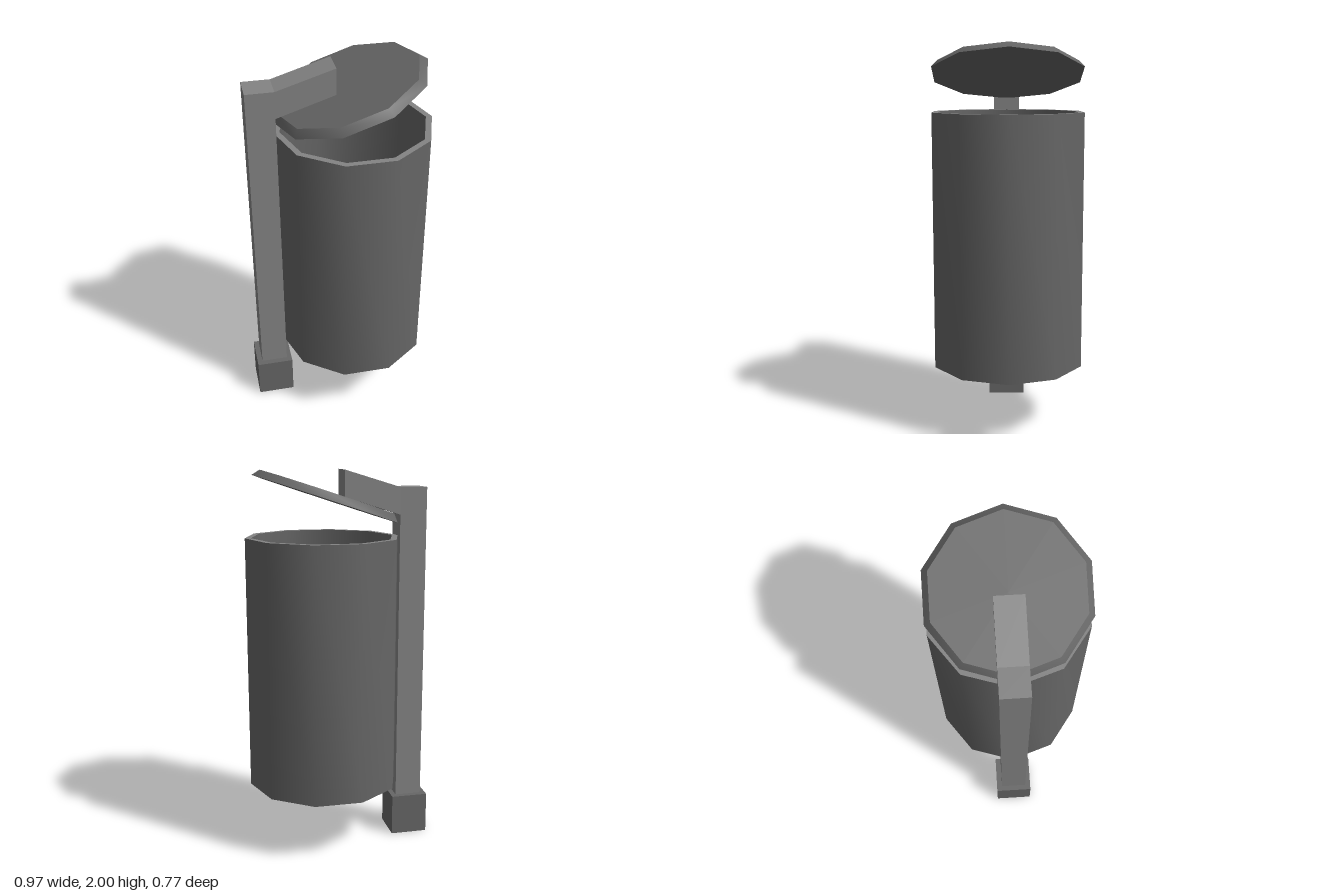
import * as THREE from 'three';
import { toCreasedNormals } from 'three/addons/utils/BufferGeometryUtils.js';

const SIDES = 10;

export function createModel() {
  const group = new THREE.Group();
  const paint = (color) => new THREE.MeshStandardMaterial({ color, side: THREE.DoubleSide });
  const dark = paint(0x666666);
  const light = paint(0x848484);

  const add = (name, geometry, material, x = 0, y = 0, z = 0) => {
    const mesh = new THREE.Mesh(geometry, material);
    mesh.name = name;
    mesh.position.set(x, y, z);
    group.add(mesh);
    return mesh;
  };

  // Ten-sided turned form with a corner pointing along +x
  const turned = (profile) => {
    const points = profile.map(([r, y]) => new THREE.Vector2(r, y));
    const lathe = new THREE.LatheGeometry(points, SIDES, Math.PI / 2);
    return toCreasedNormals(lathe, 0.68);
  };

  // Bin: a tube open at both ends, its inner wall flaring out to the lower edge
  const binX = 0.081;
  add('binOuterWall', turned([[0.404, 0.33], [0.404, 1.66]]), dark, binX);
  add('binInnerWall', turned([[0.372, 1.66], [0.372, 0.45], [0.404, 0.33]]), dark, binX);
  add('binRim', turned([[0.404, 1.66], [0.372, 1.66]]), light, binX);

  // Tilted lid with a bevelled edge
  const lid = add('lid', turned([
    [0, 0], [0.404, 0], [0.372, 0.037], [0, 0.037],
  ]), dark, 0.06, 1.848);
  lid.rotation.z = 0.32;

  // Post with the slanted arm that carries the lid
  const outline = new THREE.Shape([
    [-0.457, 0.22], [-0.315, 0.22], [-0.315, 1.77], [-0.02, 1.865],
    [-0.02, 2], [-0.315, 1.91], [-0.457, 1.91],
  ].map(([x, y]) => new THREE.Vector2(x, y)));
  const post = new THREE.ExtrudeGeometry(outline, { depth: 0.14, bevelEnabled: false });
  add('postAndArm', post, light, 0, 0, -0.07);

  // Foot block, hollow from below: the box's bottom face is left out
  const block = new THREE.BoxGeometry(0.197, 0.22, 0.2);
  const corners = Array.from(block.index.array);
  corners.splice(18, 6);
  block.setIndex(corners);
  block.clearGroups();
  add('footBlock', block, dark, -0.3865, 0.11, 0);

  return group;
}
